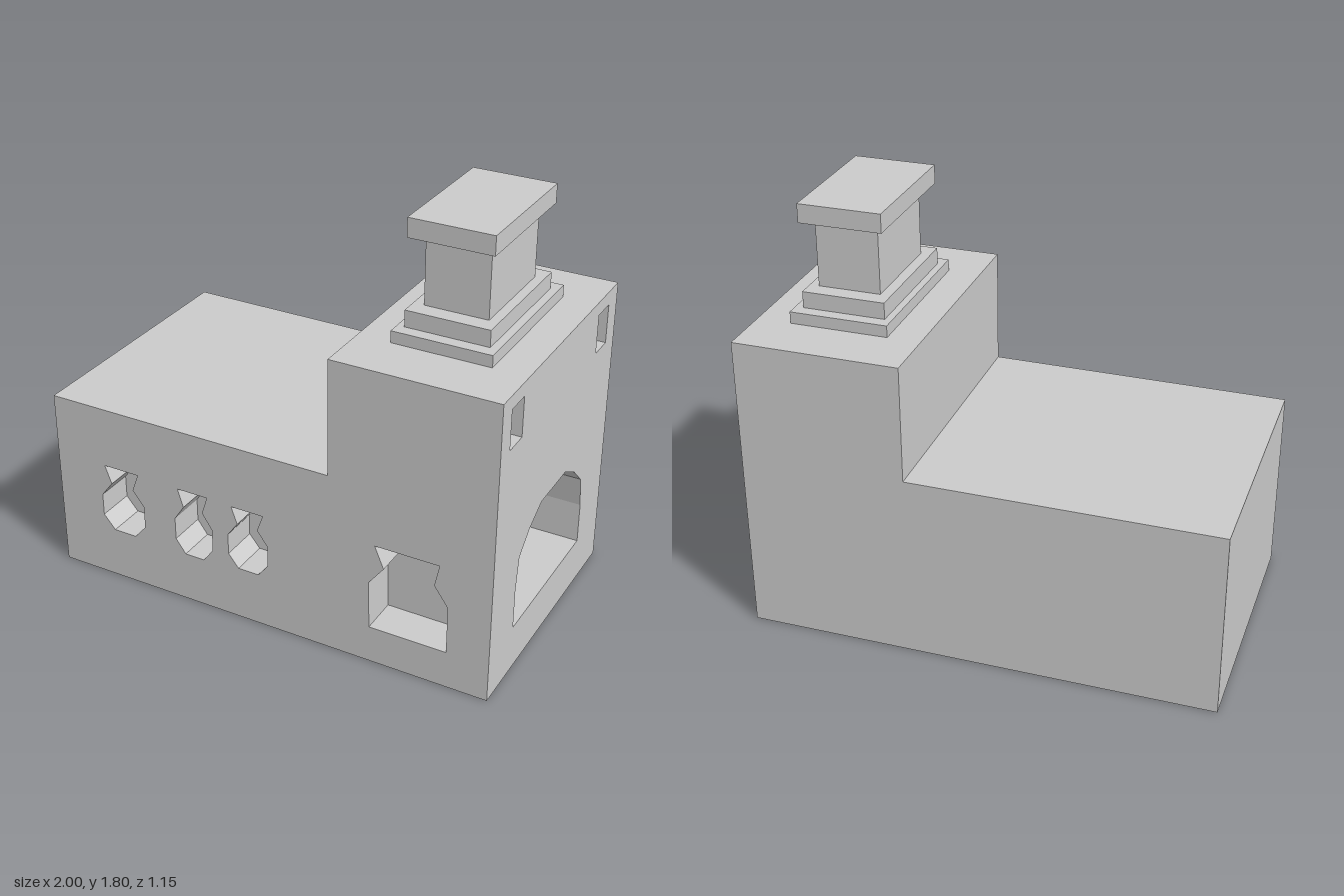
import * as THREE from 'three';

const HALF = 0.573; // half depth of the body
const material = new THREE.MeshStandardMaterial({ color: 0xcccccc });

function add(parent, geometry, name) {
  const mesh = new THREE.Mesh(geometry, material);
  mesh.name = name;
  parent.add(mesh);
  return mesh;
}

const vectors = (points) => {
  const list = points.map(([x, y]) => new THREE.Vector2(x, y));
  return THREE.ShapeUtils.isClockWise(list) ? list.reverse() : list;
};

// Flat walls that run back from z = 0 along a closed outline
function walls(points, depth, outward = false) {
  const list = vectors(points);
  const data = [];
  list.forEach((p, i) => {
    const q = list[(i + 1) % list.length];
    const p0 = [p.x, p.y, 0], q0 = [q.x, q.y, 0];
    const p1 = [p.x, p.y, -depth], q1 = [q.x, q.y, -depth];
    const corners = outward ? [p0, p1, q1, p0, q1, q0] : [p0, q0, q1, p0, q1, p1];
    data.push(...corners.flat());
  });
  const geometry = new THREE.BufferGeometry();
  geometry.setAttribute('position', new THREE.Float32BufferAttribute(data, 3));
  geometry.computeVertexNormals();
  return geometry;
}

// A flat face with its recesses: each has side walls and a back
function panel(parent, outline, recesses, name) {
  const group = new THREE.Group();
  group.name = name;
  const shape = new THREE.Shape(vectors(outline));
  recesses.forEach((r) => {
    shape.holes.push(new THREE.Path(vectors(r.points)));
    add(group, walls(r.points, r.depth), r.name + 'Walls');
    const back = new THREE.ShapeGeometry(new THREE.Shape(vectors(r.points)));
    add(group, back, r.name + 'Back').position.z = -r.depth;
  });
  add(group, new THREE.ShapeGeometry(shape), name + 'Surface');
  parent.add(group);
  return group;
}

const rect = (x0, x1, y0, y1) => [[x0, y0], [x1, y0], [x1, y1], [x0, y1]];

// Vase outline, half profile mirrored about its centre
function vase(cx, halfWidth, y0, y1) {
  const half = [[0.5, 0], [1, 0.2], [1, 0.52], [0.5, 0.74], [0.79, 1]];
  const place = ([u, v]) => [cx + u * halfWidth, y0 + v * (y1 - y0)];
  const mirrored = half.map(([u, v]) => [-u, v]).reverse();
  return [...half, ...mirrored].map(place);
}

export function createModel() {
  const model = new THREE.Group();
  model.name = 'stove';

  // L-shaped body: low bench and tall firebox
  const profile = [[-1, 0], [1, 0], [1, 1.31], [0.3, 1.31], [0.3, 0.81], [-1, 0.81]];

  // Front with niches
  const bigNiche = [[0.485, 0.165], [0.82, 0.165], [0.82, 0.375], [0.76, 0.46],
    [0.78, 0.555], [0.505, 0.555], [0.545, 0.46], [0.48, 0.375]];
  const front = panel(model, profile, [
    { name: 'outerVaseNiche', points: vase(-0.68, 0.105, 0.23, 0.54), depth: 0.165 },
    { name: 'middleVaseNiche', points: vase(-0.33, 0.09, 0.225, 0.535), depth: 0.165 },
    { name: 'innerVaseNiche', points: vase(-0.07, 0.093, 0.24, 0.53), depth: 0.165 },
    { name: 'potNiche', points: bigNiche, depth: 0.165 },
  ], 'front');
  front.position.z = HALF;

  // Plain back
  const back = panel(model, profile.map(([x, y]) => [-x, y]), [], 'back');
  back.rotation.y = Math.PI;
  back.position.z = -HALF;

  // Firebox side with arched oven mouth and two small vents (local x is -z)
  const arch = [[-0.345, 0.2], [0.34, 0.2], [0.34, 0.38], [0.315, 0.52], [0.23, 0.6],
    [0.12, 0.66], [-0.125, 0.66], [-0.235, 0.6], [-0.325, 0.52], [-0.345, 0.38]];
  const ovenSide = panel(model, rect(-HALF, HALF, 0, 1.31), [
    { name: 'oven', points: arch, depth: 0.38 },
    { name: 'frontVent', points: rect(-0.49, -0.38, 1.08, 1.25), depth: 0.1 },
    { name: 'backVent', points: rect(0.37, 0.48, 1.08, 1.25), depth: 0.1 },
  ], 'ovenSide');
  ovenSide.rotation.y = Math.PI / 2;
  ovenSide.position.x = 1;

  // Remaining body faces: every profile edge but the oven side
  const shell = walls(profile, 2 * HALF, true);
  const kept = Array.from(shell.attributes.position.array);
  kept.splice(18, 18);
  const sides = new THREE.BufferGeometry();
  sides.setAttribute('position', new THREE.Float32BufferAttribute(kept, 3));
  sides.computeVertexNormals();
  add(model, sides, 'bodySides').position.z = HALF;

  // Chimney tiers: x0, x1, y0, y1, half depth
  const tiers = {
    chimneyBase: [0.44, 0.855, 1.31, 1.36, 0.343],
    chimneyStep: [0.47, 0.82, 1.36, 1.43, 0.29],
    chimneyShaft: [0.515, 0.78, 1.43, 1.72, 0.218],
    chimneyCap: [0.47, 0.82, 1.72, 1.8, 0.286],
  };
  for (const [name, [x0, x1, y0, y1, z]] of Object.entries(tiers)) {
    const box = new THREE.BoxGeometry(x1 - x0, y1 - y0, 2 * z);
    add(model, box, name).position.set((x0 + x1) / 2, (y0 + y1) / 2, 0);
  }
  return model;
}
